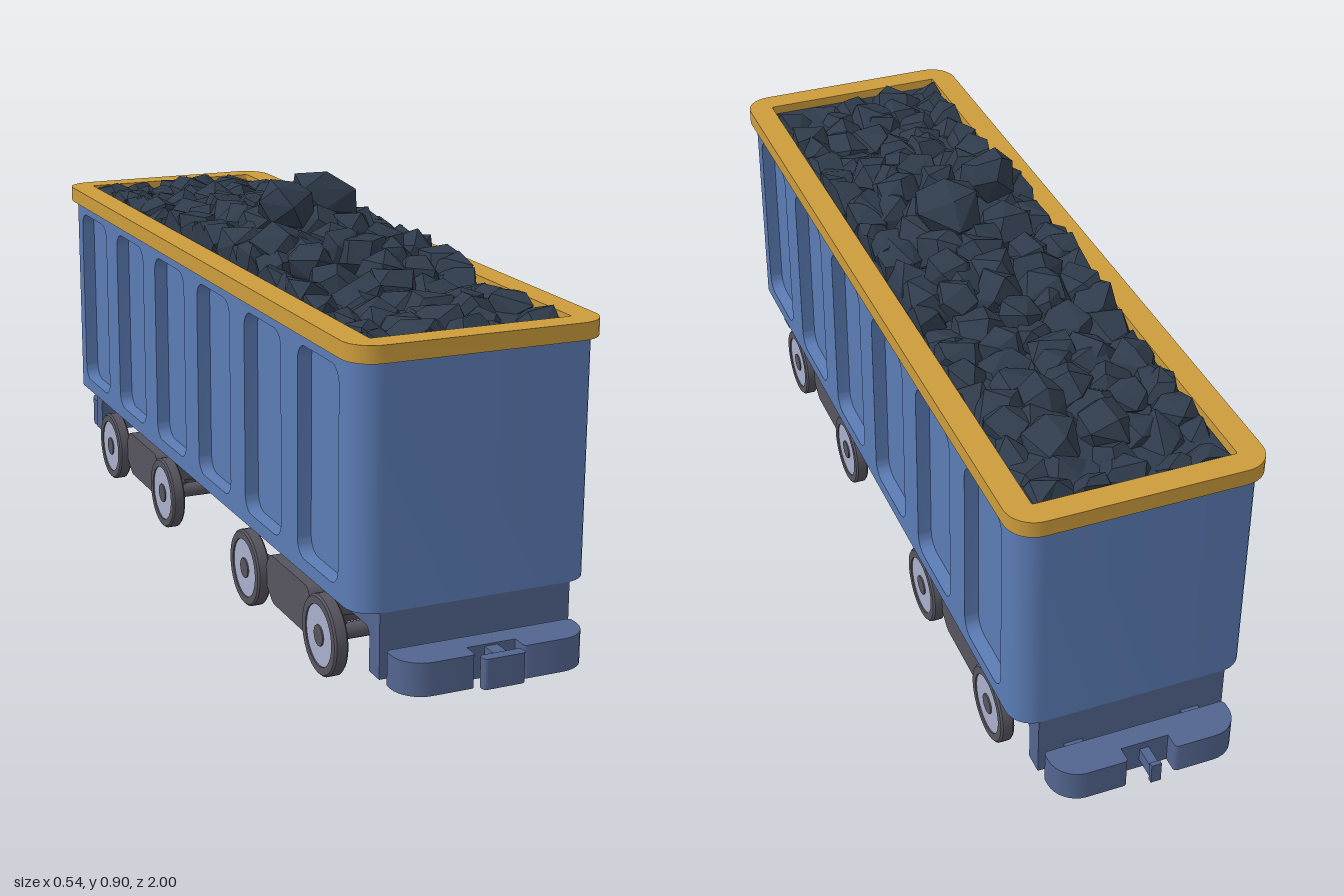
import * as THREE from 'three';
import { toCreasedNormals } from 'three/addons/utils/BufferGeometryUtils.js';
import { ConvexGeometry } from 'three/addons/geometries/ConvexGeometry.js';

const mat = (name, color) => Object.assign(new THREE.MeshStandardMaterial({ color }), { name });
const blue = mat('body blue', 0x5b7cb5);
const slate = mat('frame slate blue', 0x53658f);
const yellow = mat('rim yellow', 0xcc9c3c);
const coalMat = mat('coal', 0x2f3b4b);
const iron = mat('bogie iron', 0x56545e);
const steel = mat('wheel steel', 0xa9b0cc);

const add = (parent, name, geo, material) => {
  const m = new THREE.Mesh(geo, material);
  m.name = name;
  parent.add(m);
  return m;
};
const box = (w, h, d, x, y, z) => new THREE.BoxGeometry(w, h, d).translate(x, y, z);
const extrude = (shape, depth) => new THREE.ExtrudeGeometry(shape, { depth, bevelEnabled: false, curveSegments: 8 });
// plan shape (x, z) extruded upwards from y0
const slab = (shape, y0, h) => toCreasedNormals(extrude(shape, h).rotateX(Math.PI / 2).translate(0, y0 + h, 0), 0.6);
// side shape (z, y) extruded across x0..x1
const side = (shape, x0, x1) => toCreasedNormals(extrude(shape, x1 - x0).rotateY(-Math.PI / 2).translate(x1, 0, 0), 0.6);

// outline from [x, y, radius] corners
function outline(corners, path = new THREE.Shape()) {
  const n = corners.length;
  corners.forEach(([x, y, r = 0], i) => {
    const toward = ([px, py]) => {
      const l = Math.hypot(px - x, py - y);
      return [x + (px - x) * r / l, y + (py - y) * r / l];
    };
    const a = toward(corners[(i + n - 1) % n]), b = toward(corners[(i + 1) % n]);
    if (i) path.lineTo(...a); else path.moveTo(...a);
    if (r) path.bezierCurveTo(a[0] + (x - a[0]) * 0.55, a[1] + (y - a[1]) * 0.55, b[0] + (x - b[0]) * 0.55, b[1] + (y - b[1]) * 0.55, ...b);
  });
  path.closePath();
  return path;
}
const rect = (x0, y0, x1, y1, r, path) => outline([[x0, y0, r], [x1, y0, r], [x1, y1, r], [x0, y1, r]], path);

function makeBody() {
  const g = new THREE.Group();
  g.name = 'body';
  add(g, 'bodyCore', box(0.45, 0.49, 1.68, 0, 0.455, 0), blue);
  // rounded ends
  const end = outline([[-0.255, 0.82], [0.255, 0.82], [0.255, 0.88, 0.055], [-0.255, 0.88, 0.055]]);
  for (const turn of [0, Math.PI]) add(g, 'bodyEnd', slab(end, 0.21, 0.49), blue).rotation.y = turn;
  // side walls with six recessed panels
  const wall = rect(-0.82, 0.21, 0.82, 0.7, 0);
  for (let i = 0; i < 6; i++) {
    const z = (i - 2.5) * 0.28;
    wall.holes.push(rect(z - 0.098, 0.24, z + 0.098, 0.675, 0.035, new THREE.Path()));
  }
  add(g, 'leftWall', side(wall, 0.225, 0.255), blue);
  add(g, 'rightWall', side(wall, -0.255, -0.225), blue);
  // rim
  const rim = rect(-0.268, -0.893, 0.268, 0.893, 0.06);
  rim.holes.push(rect(-0.212, -0.838, 0.212, 0.838, 0.004, new THREE.Path()));
  add(g, 'rim', slab(rim, 0.7, 0.035), yellow);
  return g;
}

function makeCoal() {
  const g = new THREE.Group();
  g.name = 'coalLoad';
  let seed = 7;
  const rnd = () => (seed = (seed * 16807) % 2147483647) / 2147483647;
  const clamp = THREE.MathUtils.clamp;
  add(g, 'coalBed', box(0.42, 0.03, 1.67, 0, 0.701, 0), coalMat);

  const rock = (x, top, z, s) => {
    const pts = [];
    const spin = rnd() * 6.28;
    for (let i = 0; i < 13; i++) {
      const y = 1 - (2 * i + 1) / 13, r = Math.sqrt(1 - y * y), a = i * 2.4 + spin + rnd() * 0.7, k = 0.85 + rnd() * 0.25;
      pts.push(new THREE.Vector3(Math.cos(a) * r * k, y * k, Math.sin(a) * r * k));
    }
    const tilt = new THREE.Euler(rnd() * 3, rnd() * 3, rnd() * 3);
    pts.forEach(p => p.applyEuler(tilt).multiply(new THREE.Vector3(s, s * 0.85, s * 1.1)));
    const high = Math.max(...pts.map(p => p.y));
    const geo = new ConvexGeometry(pts).translate(x, top - high, z);
    // keep the lumps inside the rim
    const p = geo.attributes.position;
    for (let i = 0; i < p.count; i++) {
      p.setXYZ(i, clamp(p.getX(i), -0.209, 0.209), Math.max(p.getY(i), 0.702), clamp(p.getZ(i), -0.834, 0.834));
    }
    geo.computeVertexNormals();
    add(g, 'coalLump', geo, coalMat);
  };
  // heap height along z, from back to front
  const heights = [0.75, 0.765, 0.785, 0.785, 0.775, 0.785, 0.82, 0.835, 0.84, 0.84, 0.835, 0.825, 0.8, 0.77, 0.76, 0.762, 0.745];
  const rows = 25, cols = 5;
  for (let i = 0; i < rows; i++) for (let j = 0; j < cols; j++) {
    const z = (i / (rows - 1) - 0.5) * 1.6 + (rnd() - 0.5) * 0.05;
    const x = (j - 2) * 0.088 + (rnd() - 0.5) * 0.045;
    const t = clamp((z + 0.82) / 1.64, 0, 1) * 16, k = Math.min(15, Math.floor(t));
    const h = THREE.MathUtils.lerp(heights[k], heights[k + 1], t - k) - 0.735;
    const top = 0.735 + h * (1 - 0.45 * (x / 0.2) ** 2) - rnd() * 0.022;
    rock(x, top, z, 0.052 + rnd() * 0.022);
  }
  // large lumps on top
  rock(0.04, 0.902, 0.05, 0.08);
  rock(-0.085, 0.902, 0.14, 0.068);
  rock(-0.13, 0.832, 0.22, 0.07);
  rock(0.1, 0.825, -0.1, 0.065);
  return g;
}

function makeUnderframe() {
  const g = new THREE.Group();
  g.name = 'underframe';
  // sill with an end plate hanging down at each end
  const sill = outline([[-0.88, 0.075], [-0.835, 0.075], [-0.835, 0.165, 0.02], [0.835, 0.165, 0.02],
    [0.835, 0.075], [0.88, 0.075], [0.88, 0.21], [-0.88, 0.21]]);
  add(g, 'sill', side(sill, -0.205, 0.205), slate);
  // buffer beam with a notch for the coupler
  const beam = outline([[-0.2, 0.895, 0.01], [0.2, 0.895, 0.01], [0.2, 0.978, 0.06], [0.052, 0.978, 0.008], [0.052, 0.942],
    [-0.052, 0.942], [-0.052, 0.978, 0.008], [-0.2, 0.978, 0.06]]);
  for (const front of [true, false]) {
    const end = new THREE.Group();
    end.name = front ? 'frontBuffer' : 'backBuffer';
    if (!front) end.rotation.y = Math.PI;
    add(end, 'bufferBeam', slab(beam, 0.072, 0.068), slate);
    for (const s of [-1, 1]) add(end, 'bufferMount', box(0.04, 0.05, 0.03, s * 0.13, 0.106, 0.887), slate);
    if (front) {
      add(end, 'couplerStem', box(0.028, 0.06, 0.05, 0, 0.106, 0.96), slate);
      add(end, 'couplerHead', slab(rect(-0.045, 0.977, 0.045, 1, 0.009), 0.075, 0.062), slate);
    } else {
      add(end, 'couplerPin', box(0.02, 0.03, 0.055, 0, 0.108, 0.967), slate);
      add(end, 'couplerCap', box(0.022, 0.046, 0.01, 0, 0.108, 0.995), slate);
    }
    g.add(end);
  }
  return g;
}

function makeWheel(x, z) {
  const g = new THREE.Group();
  g.name = 'wheel';
  const profile = [[0.064, -0.015], [0.08, -0.015], [0.084, -0.011], [0.084, 0.011], [0.08, 0.015], [0.064, 0.015], [0.064, -0.015]];
  const tyre = new THREE.LatheGeometry(profile.map(p => new THREE.Vector2(...p)), 32);
  add(g, 'tyre', toCreasedNormals(tyre, 0.6).rotateZ(-Math.PI / 2), iron);
  add(g, 'wheelDisc', new THREE.CylinderGeometry(0.066, 0.066, 0.024, 32).rotateZ(Math.PI / 2), steel);
  add(g, 'hub', new THREE.CylinderGeometry(0.022, 0.022, 0.03, 16).rotateZ(Math.PI / 2), iron);
  g.position.set(x, 0.084, z);
  return g;
}

function makeBogie(z) {
  const g = new THREE.Group();
  g.name = 'bogie';
  const frame = outline([[-0.085, 0.042, 0.01], [0.085, 0.042, 0.01], [0.122, 0.075, 0.01], [0.122, 0.115, 0.01], [0.1, 0.148, 0.01],
    [-0.1, 0.148, 0.01], [-0.122, 0.115, 0.01], [-0.122, 0.075, 0.01]]);
  add(g, 'leftSideFrame', side(frame, 0.165, 0.215), iron);
  add(g, 'rightSideFrame', side(frame, -0.215, -0.165), iron);
  const bolster = outline([[-0.08, 0.048], [0.08, 0.048], [0.105, 0.075], [0.105, 0.14], [-0.105, 0.14], [-0.105, 0.075]]);
  add(g, 'bolster', side(bolster, -0.17, 0.17), iron);
  add(g, 'topPlate', box(0.37, 0.025, 0.2, 0, 0.154, 0), iron);
  for (const dz of [-0.2, 0.2]) {
    add(g, 'axle', new THREE.CylinderGeometry(0.017, 0.017, 0.43, 16).rotateZ(Math.PI / 2).translate(0, 0.084, dz), iron);
    for (const s of [-1, 1]) {
      g.add(makeWheel(s * 0.22, dz));
      add(g, 'axleArm', box(0.02, 0.035, 0.12, s * 0.185, 0.088, dz * 0.72), iron);
    }
  }
  g.position.z = z;
  return g;
}

export function createModel() {
  const model = new THREE.Group();
  model.name = 'coalWagon';
  model.add(makeBody(), makeCoal(), makeUnderframe(), makeBogie(0.46), makeBogie(-0.475));
  return model;
}
